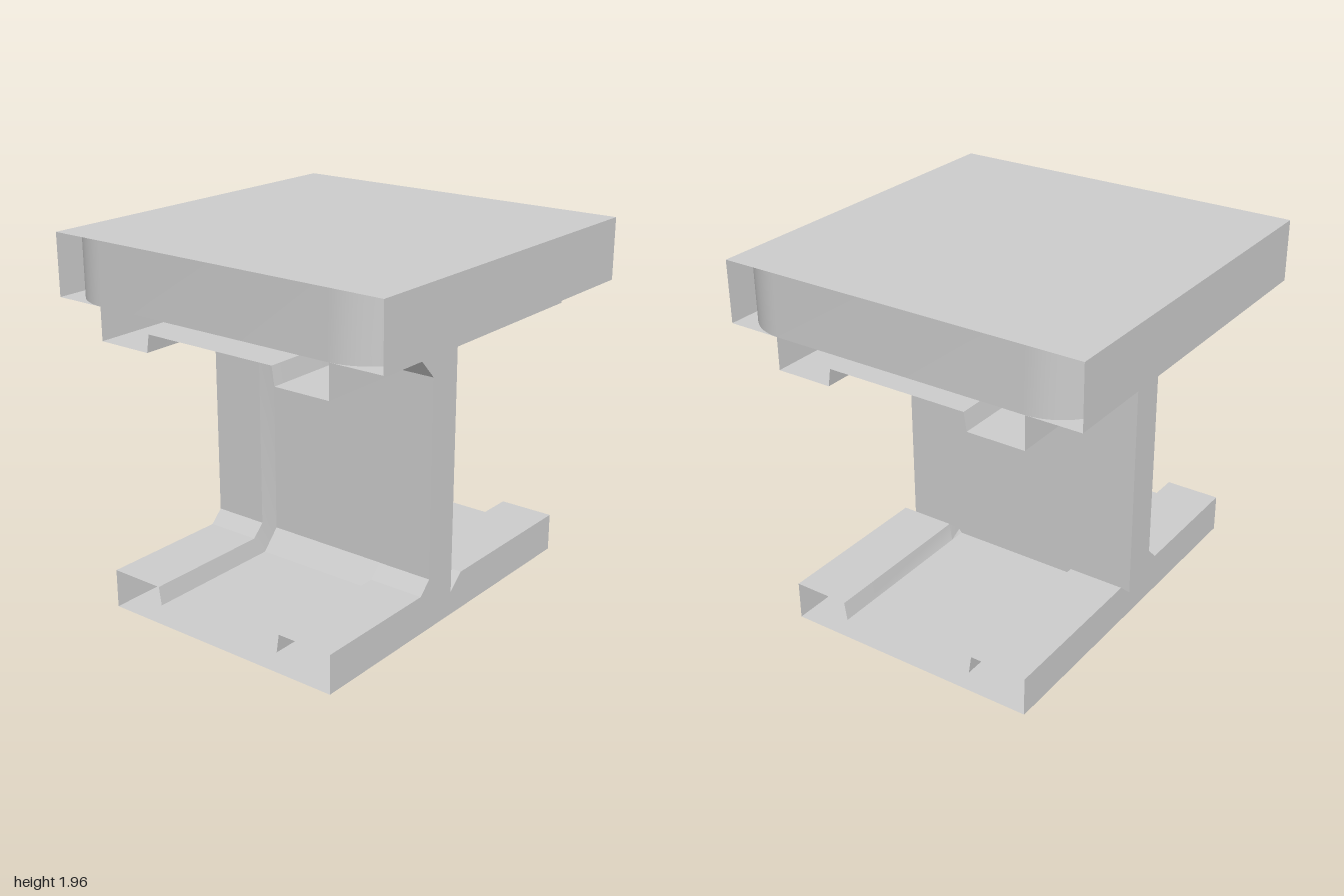
import * as THREE from 'three';
import { toCreasedNormals } from 'three/addons/utils/BufferGeometryUtils.js';

const W = 0.71;              // half depth of the beam
const LOW = 1.63, TOP = 1.96; // underside and top of the slab

const material = new THREE.MeshStandardMaterial({ color: 0xcccccc, side: THREE.DoubleSide });

// Skin over rows of points; faces look along (column direction x row direction).
function skin(rows, crease) {
  const n = rows[0].length, index = [];
  for (let i = 0; i < rows.length - 1; i++) {
    for (let j = 0; j < n - 1; j++) {
      const a = i * n + j, c = a + n;
      index.push(a, a + 1, c, a + 1, c + 1, c);
    }
  }
  const g = new THREE.BufferGeometry();
  g.setAttribute('position', new THREE.Float32BufferAttribute(rows.flat(2), 3));
  g.setIndex(index);
  return toCreasedNormals(g, crease);
}

// Side of the beam: raised rails at both edges, a shallow channel between them.
function channelSide(rail, channel) {
  return skin(rail.map(([x, y], i) => {
    const [cx, cy] = channel[i];
    return [[x, y, -W], [x, y, -0.4], [cx, cy, -0.385],
      [cx, cy, 0.385], [x, y, 0.4], [x, y, W]];
  }), 0.5);
}

export function createModel() {
  const model = new THREE.Group();
  const add = (name, geometry) => {
    const mesh = new THREE.Mesh(geometry, material);
    mesh.name = name;
    model.add(mesh);
    return mesh;
  };
  const plate = (name, w, d, y, up) => {
    const mesh = add(name, new THREE.PlaneGeometry(w, d));
    mesh.rotation.x = up ? -Math.PI / 2 : Math.PI / 2;
    mesh.position.y = y;
  };

  // Beam sides, with chamfered corners on -x and a small groove on +x
  const railA = [[-1, 0.21], [-0.27, 0.21], [-0.2, 0.28], [-0.2, 1.35], [-0.3, 1.455], [-1, 1.455]];
  const channelA = [[-1, 0.11], [-0.2, 0.11], [-0.1, 0.22], [-0.1, 1.43], [-0.22, 1.55], [-1, 1.55]];
  const railB = [[1, 1.455], [0, 1.455], [0, 0.13], [0.09, 0.21], [1, 0.21]];
  const channelB = [[1, 1.55], [0, 1.55], [0, 0.11], [0.09, 0.11], [1, 0.11]];
  add('chamferedSide', channelSide(railA, channelA));
  add('groovedSide', channelSide(railB, channelB));

  // Beam faces at the front and back
  const outline = [[-1, 0], [1, 0], ...[...railB].reverse(), [1, LOW], [-1, LOW], ...[...railA].reverse()];
  const face = new THREE.ShapeGeometry(new THREE.Shape(outline.map(p => new THREE.Vector2(...p))));
  for (const s of [1, -1]) {
    const mesh = add(s > 0 ? 'beamFront' : 'beamBack', face);
    mesh.position.z = s * W;
    mesh.scale.z = s;
  }

  // Base and the inner wall behind the open flange ends
  plate('beamBase', 2, 2 * W, 0, false);
  const inner = add('innerWeb', new THREE.PlaneGeometry(2 * W, LOW));
  inner.rotation.y = Math.PI / 2;
  inner.position.set(-0.003, LOW / 2, 0);

  // Slab: square plates and straight front and back walls
  plate('slabTop', 2, 2, TOP, true);
  plate('slabBottom', 2, 2, LOW, false);
  for (const s of [1, -1]) {
    const wall = add(s > 0 ? 'slabFront' : 'slabBack', new THREE.PlaneGeometry(2, TOP - LOW));
    wall.position.set(0, (LOW + TOP) / 2, s);
    wall.rotation.y = s > 0 ? 0 : Math.PI;
  }

  // Slab ends, rounded inward at the corners
  const r = 0.3, steps = 12, rows = [];
  for (const s of [-1, 1]) {
    for (let i = 0; i <= steps; i++) {
      const a = (s < 0 ? i - steps : i) / steps * Math.PI / 2;
      const x = 1 - r + r * Math.cos(a), z = s * (1 - r) + r * Math.sin(a);
      rows.push([[x, LOW, z], [x, TOP, z]]);
    }
  }
  const end = skin(rows, 0.6);
  add('slabEnd', end);
  add('slabEnd', end).rotation.y = Math.PI;

  return model;
}
